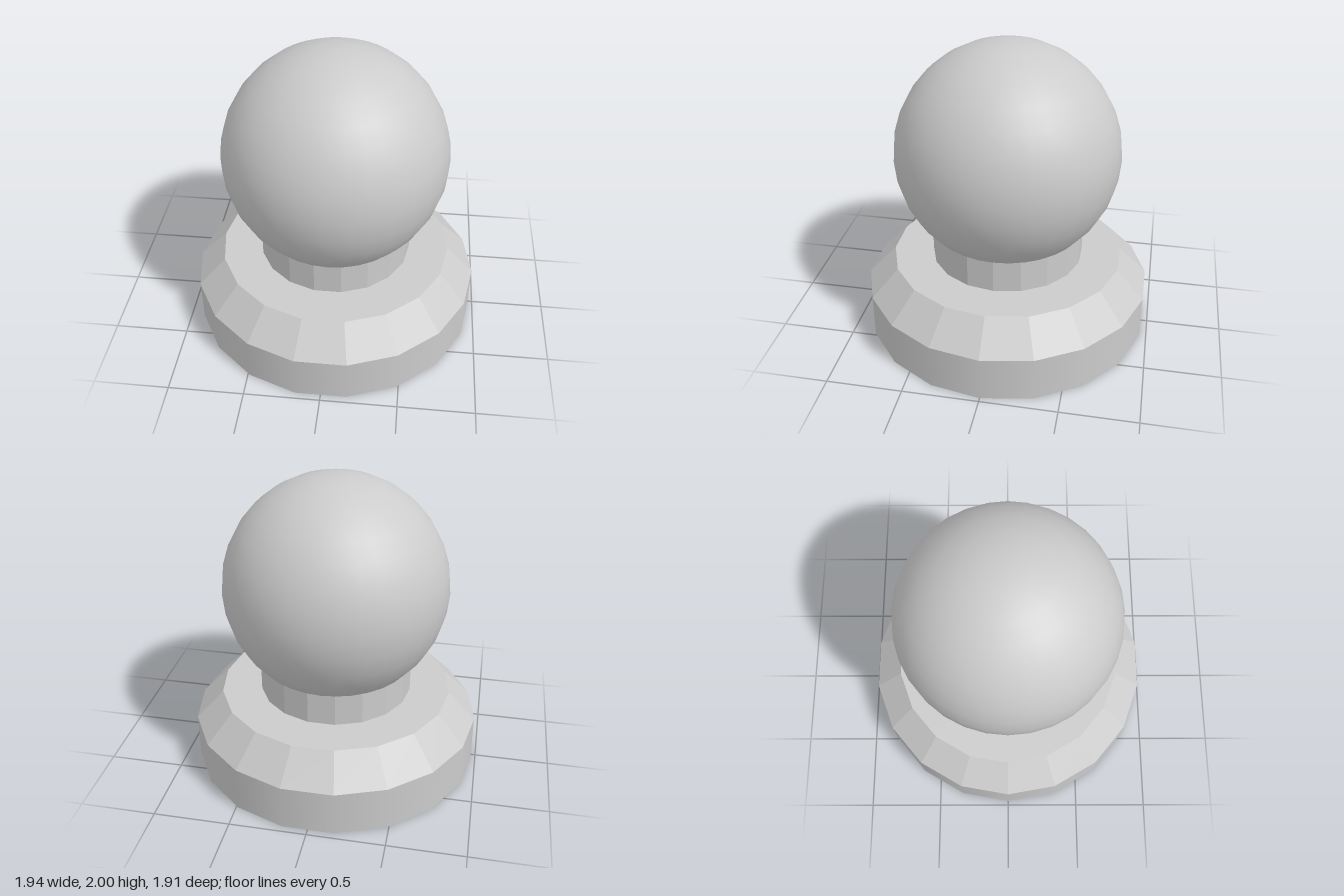
import * as THREE from 'three';

const SIDES = 18;
const START = Math.PI / 2; // puts a corner on the x axis

const smooth = new THREE.MeshStandardMaterial({ color: 0xcccccc });
const faceted = new THREE.MeshStandardMaterial({ color: 0xcccccc, flatShading: true });

function addPart(group, name, geometry, material, y) {
  const mesh = new THREE.Mesh(geometry, material);
  mesh.name = name;
  mesh.position.y = y;
  group.add(mesh);
  return mesh;
}

// Open prism wall between two heights
function addRing(group, name, rTop, rBottom, y0, y1, material) {
  const geometry = new THREE.CylinderGeometry(rTop, rBottom, y1 - y0, SIDES, 1, true, START);
  return addPart(group, name, geometry, material, (y0 + y1) / 2);
}

// Flat polygon facing up or down
function addDisc(group, name, radius, y, up) {
  const geometry = new THREE.CircleGeometry(radius, SIDES);
  geometry.rotateX(up ? -Math.PI / 2 : Math.PI / 2);
  return addPart(group, name, geometry, faceted, y);
}

export function createModel() {
  const model = new THREE.Group();
  model.name = 'ballOnPedestal';

  // Base: upright wall, bevel, flat top and underside
  const base = new THREE.Group();
  base.name = 'base';
  addRing(base, 'baseWall', 0.97, 0.97, 0, 0.305, smooth);
  addRing(base, 'baseBevel', 0.783, 0.97, 0.305, 0.5, faceted);
  addDisc(base, 'baseTop', 0.783, 0.5, true);
  addDisc(base, 'baseUnderside', 0.97, 0, false);
  model.add(base);

  // Neck runs up into the ball
  addRing(model, 'neck', 0.515, 0.515, 0.5, 0.75, faceted);

  // Ball
  addPart(model, 'ball', new THREE.SphereGeometry(0.744, 32, 16), smooth, 1.256);

  return model;
}
